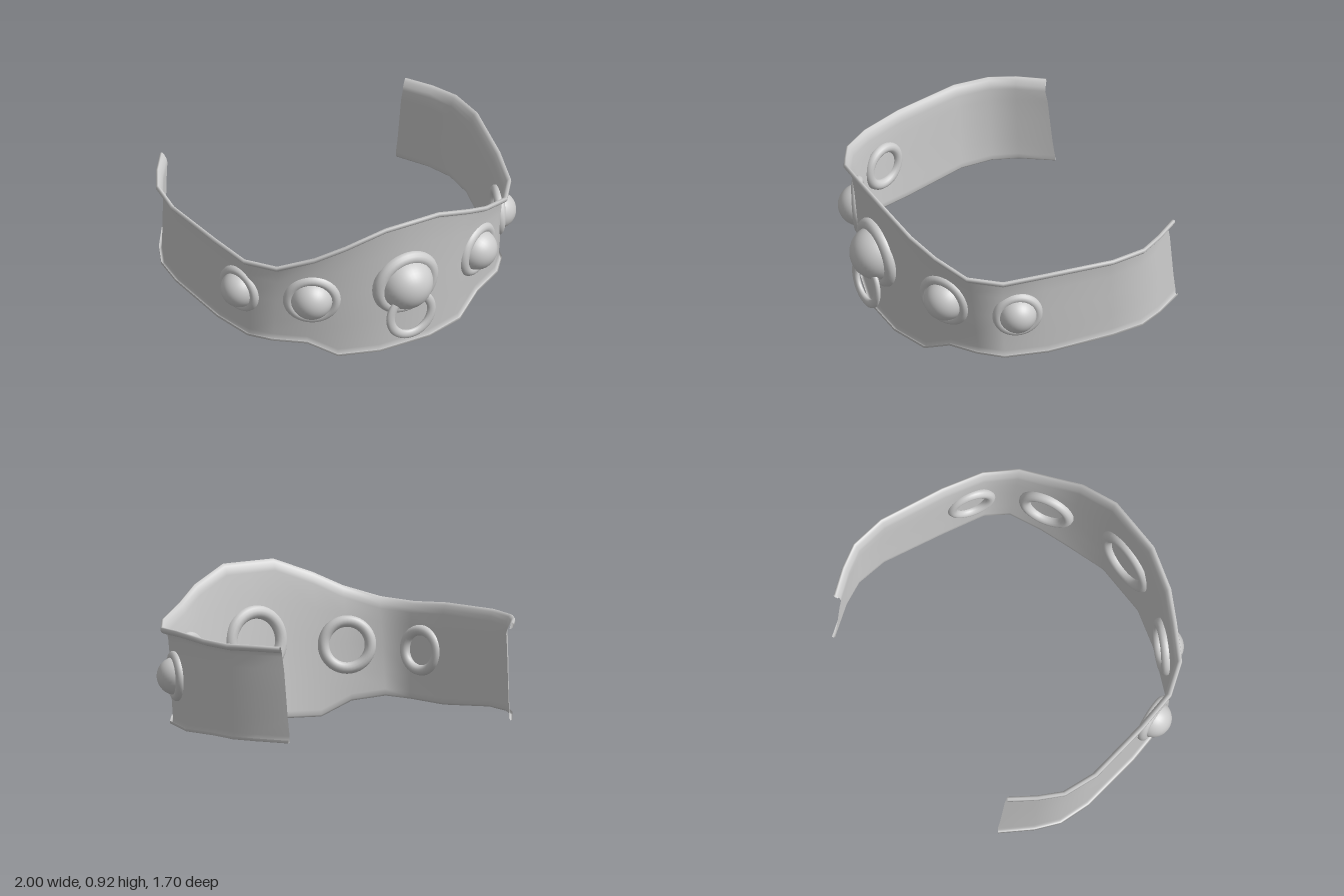
import * as THREE from 'three';

const material = new THREE.MeshStandardMaterial({ color: 0xcccccc, side: THREE.DoubleSide });

// Half of the band, centre to end: top x, y, z, then bottom x, y, z
const HALF = [
  [0, 0.92, 0.725, 0, 0.005, 0.655],
  [0.165, 0.92, 0.725, 0.16, 0.005, 0.655],
  [0.39, 0.83, 0.665, 0.39, 0.005, 0.585],
  [0.54, 0.75, 0.585, 0.545, 0.095, 0.505],
  [0.72, 0.685, 0.48, 0.72, 0.12, 0.42],
  [0.83, 0.67, 0.32, 0.81, 0.11, 0.3],
  [0.89, 0.69, 0.08, 0.87, 0.105, 0.05],
  [0.955, 0.7, -0.31, 0.935, 0.14, -0.33],
  [0.935, 0.7, -0.51, 0.925, 0.142, -0.52],
  [0.865, 0.705, -0.64, 0.865, 0.145, -0.66],
  [0.765, 0.705, -0.78, 0.75, 0.145, -0.835],
];

// Cross-section: height fraction, height shift, outward shift
const SECTION = [
  [0, 0.018, 0.018], [0, 0.004, 0.018], [0, 0, 0.008], [0, 0.012, 0], [0, 0.04, 0],
  [0.25, 0, 0], [0.5, 0, 0], [0.75, 0, 0],
  [1, -0.065, 0], [1, -0.04, 0.006], [1, -0.015, 0.018], [1, 0, 0.032],
  [1, -0.005, 0.043], [1, -0.02, 0.045], [1, -0.034, 0.034], [1, -0.04, 0.018],
];

function createBand() {
  const mirrored = HALF.slice(1).reverse().map(([a, b, c, d, e, f]) => [-a, b, c, -d, e, f]);
  const stations = [...mirrored, ...HALF];
  const rows = SECTION.length;
  const positions = [];
  const index = [];
  stations.forEach((s, i) => {
    const before = stations[Math.max(i - 1, 0)];
    const after = stations[Math.min(i + 1, stations.length - 1)];
    const out = new THREE.Vector2(before[2] - after[2], after[0] - before[0]).normalize();
    for (const [t, dy, push] of SECTION) {
      positions.push(
        THREE.MathUtils.lerp(s[3], s[0], t) + out.x * push,
        THREE.MathUtils.lerp(s[4], s[1], t) + dy,
        THREE.MathUtils.lerp(s[5], s[2], t) + out.y * push,
      );
    }
    if (i === 0) return;
    for (let j = 0; j < rows - 1; j++) {
      const a = (i - 1) * rows + j;
      const b = i * rows + j;
      index.push(a, b, b + 1, a, b + 1, a + 1);
    }
  });
  const geometry = new THREE.BufferGeometry();
  geometry.setAttribute('position', new THREE.Float32BufferAttribute(positions, 3));
  geometry.setIndex(index);
  geometry.computeVertexNormals();
  const band = new THREE.Mesh(geometry, material);
  band.name = 'band';
  return band;
}

// Dome in a round collar, facing along the given direction
function createStud(name, position, facing, domeRadius, ringRadius, tube) {
  const stud = new THREE.Group();
  stud.name = name;
  const dome = new THREE.Mesh(
    new THREE.SphereGeometry(domeRadius, 32, 12, 0, Math.PI * 2, 0, Math.PI / 2).rotateX(Math.PI / 2),
    material,
  );
  dome.name = 'dome';
  const collar = new THREE.Mesh(new THREE.TorusGeometry(ringRadius, tube, 14, 40), material);
  collar.name = 'collar';
  stud.add(dome, collar);
  stud.position.set(...position);
  stud.lookAt(new THREE.Vector3(...position).add(new THREE.Vector3(...facing)));
  return stud;
}

export function createModel() {
  const model = new THREE.Group();
  model.name = 'studdedCollar';
  model.add(createBand());

  // Studs: one large in the middle, two on each side
  model.add(createStud('centreStud', [-0.01, 0.46, 0.695], [0, -0.09, 1], 0.16, 0.17, 0.04));
  for (const [side, label] of [[1, 'left'], [-1, 'right']]) {
    model.add(createStud(label + 'FrontStud', [side * 0.535, 0.417, 0.54], [side * 0.48, -0.09, 0.87], 0.122, 0.135, 0.033));
    model.add(createStud(label + 'SideStud', [side * 0.837, 0.4, 0.228], [side * 0.94, -0.04, 0.32], 0.11, 0.116, 0.03));
  }

  // Ring hanging from the middle stud
  const ring = new THREE.Mesh(new THREE.TorusGeometry(0.133, 0.027, 12, 40), material);
  ring.name = 'hangingRing';
  ring.scale.z = 0.7;
  ring.position.set(-0.01, 0.277, 0.765);
  model.add(ring);
  return model;
}
